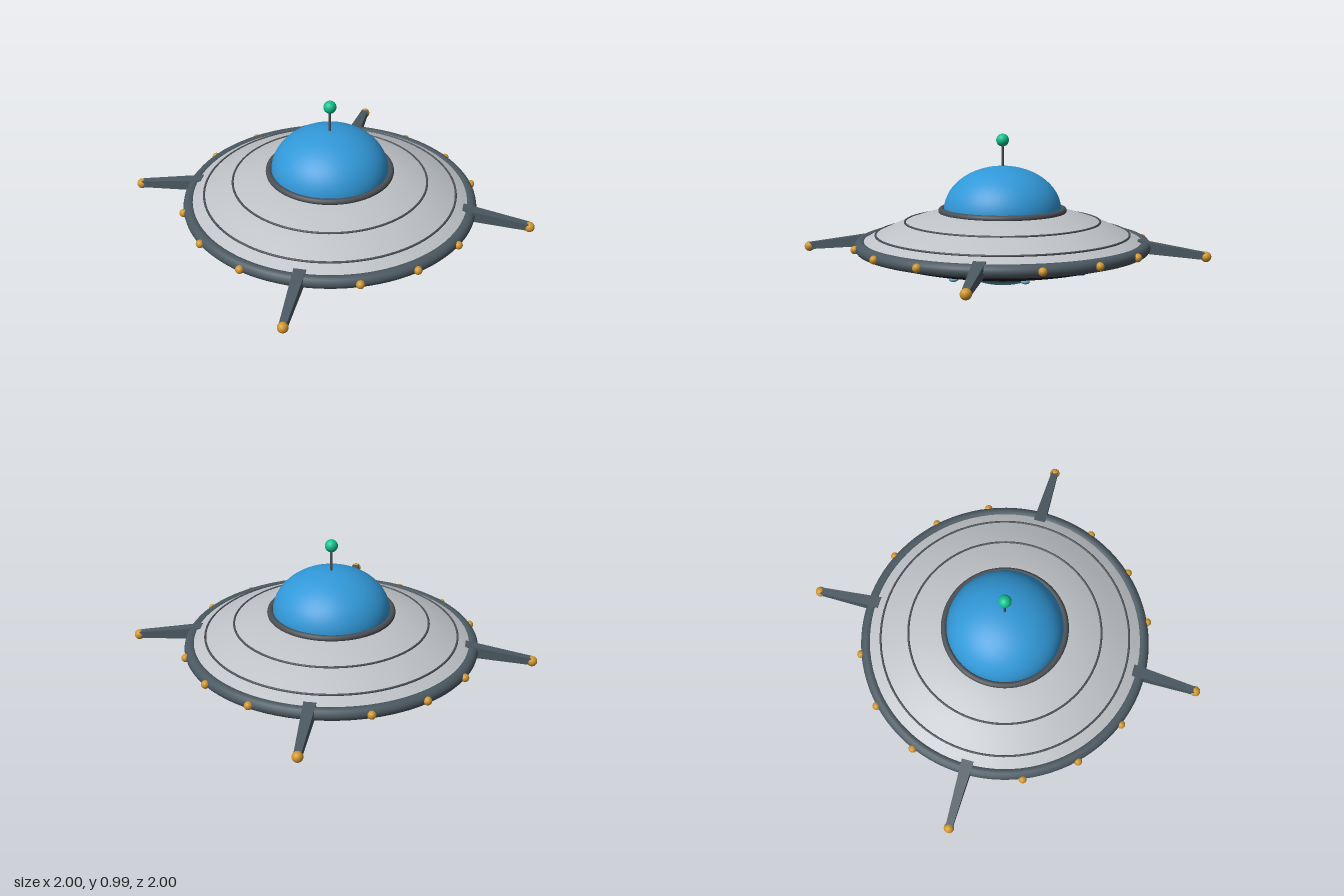
import * as THREE from 'three';

const material = (name, color) => new THREE.MeshStandardMaterial({ name, color });

export function createModel() {
  const silver = material('silver hull', 0xbfc3c7);
  const black = material('black underside', 0x1c1b1f);
  const slate = material('slate metal', 0x4c5962);
  const trim = material('grey trim', 0x4b5056);
  const blue = material('blue glass', 0x3198d8);
  const paleBlue = material('pale blue glow', 0x5a9fc0);
  const amber = material('amber lamp', 0xd0962e);
  const green = material('green beacon', 0x0fc08c);

  const model = new THREE.Group();
  model.name = 'flyingSaucer';

  const add = (name, geometry, mat, x = 0, y = 0, z = 0) => {
    const mesh = new THREE.Mesh(geometry, mat);
    mesh.name = name;
    mesh.position.set(x, y, z);
    model.add(mesh);
    return mesh;
  };
  const ring = (name, radius, tube, y, mat) =>
    add(name, new THREE.TorusGeometry(radius, tube, 14, 96).rotateX(Math.PI / 2), mat, 0, y, 0);
  // Smooth disc shell turned from a few points, listed from bottom to top
  const shell = (name, points, mat) => {
    const curve = new THREE.SplineCurve(points.map(([r, y]) => new THREE.Vector2(r, y)));
    return add(name, new THREE.LatheGeometry(curve.getPoints(24), 96), mat);
  };

  // Disc body
  shell('upperHull', [[0.94, 0.283], [0.83, 0.336], [0.64, 0.417], [0.42, 0.48], [0.2, 0.5], [0, 0.505]], silver);
  shell('lowerHull', [[0, 0.07], [0.25, 0.085], [0.55, 0.131], [0.72, 0.165], [0.93, 0.225]], black);
  ring('rim', 0.93, 0.041, 0.265, slate);
  ring('innerSeam', 0.64, 0.007, 0.418, trim);
  ring('outerSeam', 0.832, 0.007, 0.337, trim);

  // Dome and antenna
  const dome = new THREE.SphereGeometry(0.385, 64, 24, 0, Math.PI * 2, 0, Math.PI / 2);
  add('dome', dome.scale(1, 0.29 / 0.385, 1), blue, 0, 0.49, 0);
  ring('domeCollar', 0.4, 0.021, 0.49, trim);
  add('antennaRod', new THREE.CylinderGeometry(0.008, 0.008, 0.17, 12), trim, 0, 0.845, 0);
  add('antennaBeacon', new THREE.SphereGeometry(0.042, 24, 16), green, 0, 0.95, 0);

  // Belly lens
  const lens = new THREE.SphereGeometry(0.215, 48, 16, 0, Math.PI * 2, Math.PI / 2, Math.PI / 2);
  add('bellyLens', lens.scale(1, 0.07 / 0.215, 1), paleBlue, 0, 0.07, 0);
  ring('lensCollar', 0.235, 0.02, 0.073, trim);

  // Rim lamps, leaving the diagonals free for the fins
  for (let i = 0; i < 16; i++) {
    if (i % 4 === 2) continue;
    const a = (i * Math.PI) / 8;
    add('rimLamp', new THREE.SphereGeometry(0.027, 16, 12), amber, 0.973 * Math.sin(a), 0.265, 0.973 * Math.cos(a));
  }

  // Flattened lamps under the hull
  for (let i = 0; i < 8; i++) {
    const a = ((i + 0.5) * Math.PI) / 4;
    const lamp = new THREE.SphereGeometry(0.028, 16, 12).scale(1, 0.5, 1);
    add('bellyLamp', lamp, paleBlue, 0.585 * Math.sin(a), 0.128, 0.585 * Math.cos(a));
  }

  // Four tapered fins with amber tips
  const inner = new THREE.Vector3(0, 0.275, 0.88);
  const outer = new THREE.Vector3(0, 0.22, 1.315);
  const span = outer.clone().sub(inner);
  for (let i = 0; i < 4; i++) {
    const fin = new THREE.Group();
    fin.name = 'fin';
    const bladeGeometry = new THREE.CylinderGeometry(0.032, 0.056, span.length(), 4)
      .rotateY(Math.PI / 4).toNonIndexed();
    bladeGeometry.computeVertexNormals();
    const blade = new THREE.Mesh(bladeGeometry, slate);
    blade.name = 'finBlade';
    blade.position.copy(inner).add(outer).multiplyScalar(0.5);
    blade.rotation.x = Math.atan2(span.z, span.y);
    const tip = new THREE.Mesh(new THREE.SphereGeometry(0.034, 20, 14), amber);
    tip.name = 'finTip';
    tip.position.set(0, 0.215, 1.322);
    fin.add(blade, tip);
    fin.rotation.y = Math.PI / 4 + (i * Math.PI) / 2;
    model.add(fin);
  }

  return model;
}
